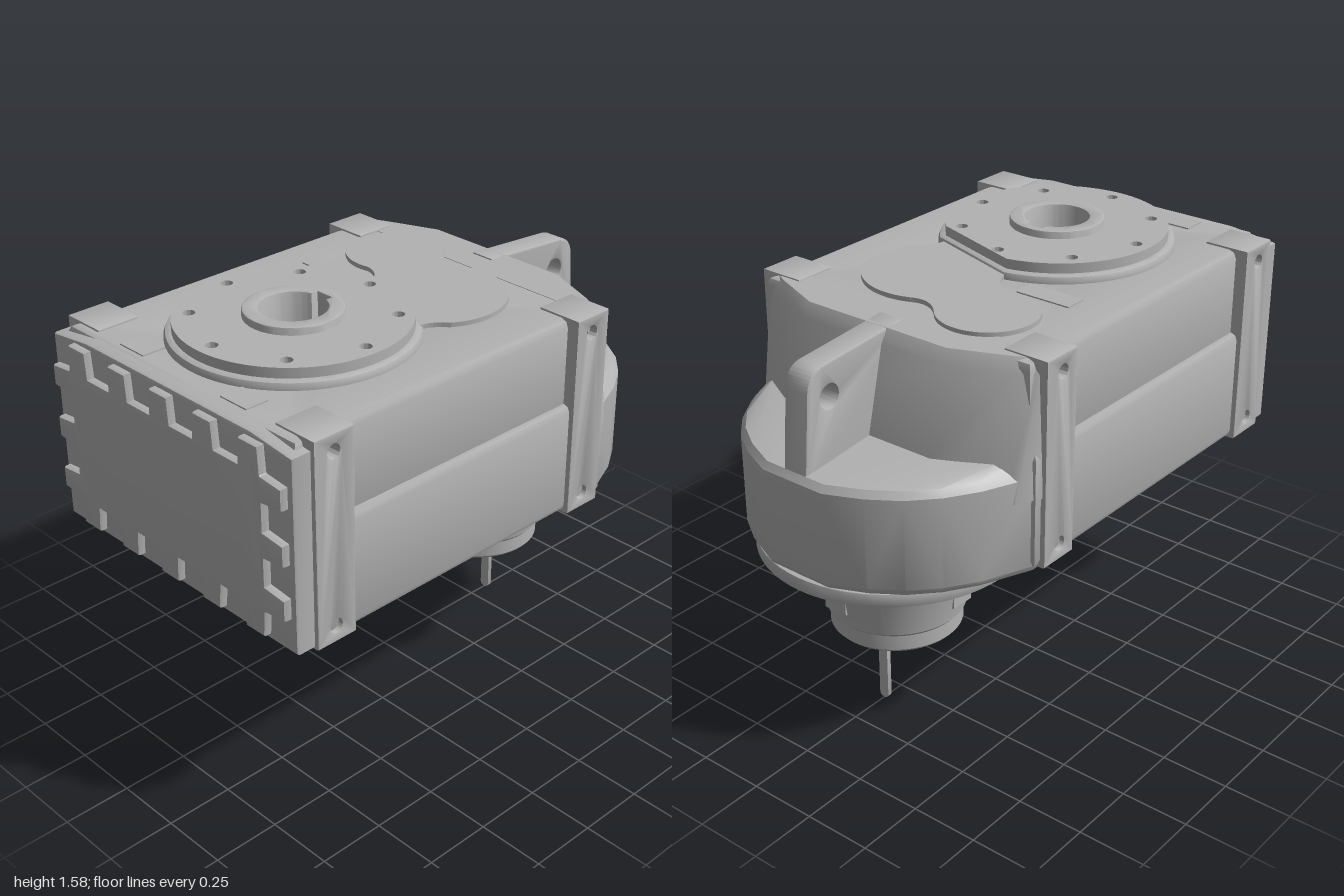
import * as THREE from 'three';
import { toCreasedNormals } from 'three/addons/utils/BufferGeometryUtils.js';
import { ConvexGeometry } from 'three/addons/geometries/ConvexGeometry.js';

const castGrey = new THREE.MeshStandardMaterial({ color: 0xb2b2b2 });
castGrey.name = 'castGrey';

const OUT_Z = 0.42;   // output shaft axis
const IN_Z = -0.51;   // input shaft axis

export function createModel() {
  const model = new THREE.Group();
  model.name = 'gearbox';

  const add = (name, geometry) => {
    const mesh = new THREE.Mesh(toCreasedNormals(geometry, 0.55), castGrey);
    mesh.name = name;
    model.add(mesh);
    return mesh;
  };
  const extrude = (shape, depth, bevel = 0) => {
    const geometry = new THREE.ExtrudeGeometry(shape, {
      depth: depth - 2 * bevel, bevelEnabled: bevel > 0, bevelSize: bevel, bevelThickness: bevel,
      bevelOffset: -bevel, bevelSegments: 2, curveSegments: 32,
    });
    return geometry.translate(0, 0, bevel);
  };
  // Horizontal plate: shape drawn as (x, -z), rising from y0 to y1
  const plate = (name, shape, y0, y1, bevel) =>
    add(name, extrude(shape, y1 - y0, bevel).rotateX(-Math.PI / 2).translate(0, y0, 0));
  // Upright slab: shape drawn as (-z, y), running from x0 to x1
  const slab = (name, shape, x0, x1, bevel) =>
    add(name, extrude(shape, x1 - x0, bevel).rotateY(Math.PI / 2).translate(x0, 0, 0));
  const polygon = (points) => new THREE.Shape(points.map(([x, y]) => new THREE.Vector2(x, y)));
  const rect = (x0, y0, x1, y1) => polygon([[x0, y0], [x1, y0], [x1, y1], [x0, y1]]);
  const disc = (x, y, r) => new THREE.Shape().absarc(x, y, r, 0, Math.PI * 2);
  const punch = (shape, x, y, r) => {
    shape.holes.push(new THREE.Path().absarc(x, y, r, 0, Math.PI * 2, true));
    return shape;
  };
  const boltCircle = (shape) => {
    for (let i = 0; i < 8; i++) {
      const a = (i * Math.PI) / 4;
      punch(shape, 0.35 * Math.cos(a), -OUT_Z + 0.35 * Math.sin(a), 0.022);
    }
    return shape;
  };

  // Main housing, pierced for the hollow shaft
  const housing = (w, z0, z1) => punch(rect(-w, -z1, w, -z0), 0, -OUT_Z, 0.15);
  plate('lowerHousing', housing(0.608, -0.5, 0.93), 0.74, 1.165, 0.025);
  plate('upperHousing', housing(0.58, -0.5, 0.93), 1.1, 1.485, 0.03);

  // Corner mounting strips with side holes
  for (const side of [-1, 1]) {
    for (const [z0, z1, holeZ] of [[0.73, 0.895, 0.815], [-0.47, -0.31, -0.385]]) {
      const strip = rect(-z1, 0.735, -z0, 1.492);
      punch(strip, -holeZ, 1.43, 0.025);
      punch(strip, -holeZ, 0.795, 0.025);
      slab('mountingStrip', strip, side > 0 ? 0.45 : -0.627, side > 0 ? 0.627 : -0.45, 0.006);
    }
  }

  // Front cover and its raised plate with bolt tabs round the edge
  const coverShape = polygon([[-0.61, 0.745], [0.61, 0.745], [0.61, 1.455], [0.42, 1.478], [-0.42, 1.478], [-0.61, 1.455]]);
  add('frontCover', extrude(coverShape, 0.12, 0.012).translate(0, 0, 0.85));
  const outline = [];
  const tabsX = [-0.44, -0.22, 0, 0.22, 0.44];
  const tabsY = [0.915, 1.115, 1.315];
  for (const x of tabsX) outline.push([x - 0.053, 0.865], [x - 0.045, 0.77], [x + 0.045, 0.77], [x + 0.053, 0.865]);
  for (const y of tabsY) outline.push([0.495, y - 0.048], [0.588, y - 0.038], [0.588, y + 0.038], [0.495, y + 0.048]);
  for (const x of [...tabsX].reverse()) outline.push([x + 0.053, 1.365], [x + 0.045, 1.46], [x - 0.045, 1.46], [x - 0.053, 1.365]);
  for (const y of [...tabsY].reverse()) outline.push([-0.495, y + 0.048], [-0.588, y + 0.038], [-0.588, y - 0.038], [-0.495, y - 0.048]);
  add('tabbedPlate', extrude(polygon(outline), 0.045, 0.01).translate(0, 0, 0.955));

  // Rear housing: faceted lower bowl and sloping shoulder
  const convex = (name, layers) => {
    const points = [];
    for (const [y, ring] of layers)
      for (const [x, z] of ring) points.push(new THREE.Vector3(x, y, z), new THREE.Vector3(-x, y, z));
    add(name, new ConvexGeometry(points));
  };
  const bowl = [[0.6, -0.4], [0.6, -0.48], [0.55, -0.56], [0.52, -0.67], [0.45, -0.78], [0.365, -0.87], [0.26, -0.94], [0.13, -0.998]];
  const shrink = (k) => bowl.map(([x, z]) => [x * k, -0.4 + (z + 0.4) * k]);
  convex('rearBowl', [[0.72, shrink(0.975)], [0.745, bowl], [1.08, bowl], [1.105, shrink(0.97)],
    [1.135, [[0.56, -0.45], [0.5, -0.58], [0.3, -0.68]]]]);
  convex('rearShoulder', [
    [1.0, [[0.615, -0.4], [0.615, -0.47], [0.57, -0.56], [0.32, -0.7]]],
    [1.13, [[0.61, -0.4], [0.61, -0.47], [0.56, -0.55], [0.31, -0.68]]],
    [1.44, [[0.595, -0.4], [0.595, -0.47], [0.54, -0.51], [0.31, -0.605]]],
    [1.487, [[0.56, -0.4], [0.56, -0.46], [0.51, -0.49], [0.3, -0.575]]],
  ]);

  // Lifting lug
  const lug = new THREE.Shape();
  lug.moveTo(0.5, 1.05);
  lug.lineTo(0.985, 1.05);
  lug.lineTo(0.955, 1.39);
  lug.quadraticCurveTo(0.945, 1.455, 0.885, 1.462);
  lug.lineTo(0.5, 1.492);
  slab('liftingLug', punch(lug, 0.855, 1.345, 0.042), -0.05, 0.05, 0.008);

  // Top output flange, cut flat where it meets the gear cover
  const rad = Math.PI / 180;
  const cutDisc = (r) => new THREE.Shape().absarc(0, -OUT_Z, r, 101 * rad, 404 * rad);
  plate('topFlangeBase', punch(cutDisc(0.435), 0, -OUT_Z, 0.15), 1.45, 1.515, 0.02);
  plate('topFlange', boltCircle(punch(cutDisc(0.408), 0, -OUT_Z, 0.15)), 1.51, 1.552);

  // Bottom output flange
  plate('bottomFlangeBase', punch(disc(0, -OUT_Z, 0.412), 0, -OUT_Z, 0.15), 0.69, 0.76);
  plate('bottomFlange', boltCircle(punch(disc(0, -OUT_Z, 0.412), 0, -OUT_Z, 0.15)), 0.66, 0.7);

  // Hollow output shaft with keyway
  const key = Math.asin(0.035 / 0.118);
  const bore = new THREE.Path();
  bore.absarc(0, -OUT_Z, 0.118, Math.PI / 2 + key, Math.PI / 2 - key + Math.PI * 2);
  bore.lineTo(0.035, -OUT_Z + 0.14);
  bore.lineTo(-0.035, -OUT_Z + 0.14);
  const shaft = disc(0, -OUT_Z, 0.174);
  shaft.holes.push(bore);
  plate('hollowShaft', shaft, 0.643, 1.58, 0.006);

  // Two-lobed gear cover on the top
  const lobes = new THREE.Shape();
  lobes.moveTo(-0.08, -0.02);
  lobes.quadraticCurveTo(-0.11, 0.1, -0.2, 0.11);
  lobes.absarc(-0.24, 0.285, 0.18, -77 * rad, 40 * rad, true);
  lobes.quadraticCurveTo(-0.04, 0.335, 0.022, 0.356);
  lobes.absarc(0.13, 0.125, 0.255, 115 * rad, -35 * rad, true);
  lobes.quadraticCurveTo(0.265, -0.08, 0.29, -0.14);
  lobes.lineTo(0, -0.15);
  plate('gearCover', lobes, 1.45, 1.502);

  // Small blank data plates
  for (const [x, z, w, d] of [[-0.305, -0.03, 0.22, 0.085], [-0.26, 0.855, 0.125, 0.09], [0.26, 0.855, 0.125, 0.09]])
    plate('dataPlate', rect(x - w / 2, -z - d / 2, x + w / 2, -z + d / 2), 1.482, 1.49);

  // Input flange and tapered input neck with a blind bore
  plate('inputFlange', disc(0, 0.515, 0.483), 0.664, 0.716, 0.005);
  plate('inputFlangeSeat', disc(0, 0.515, 0.465), 0.7, 0.75);
  const profile = [[0, 0.5], [0.075, 0.5], [0.075, 0.315], [0.228, 0.315], [0.24, 0.328], [0.24, 0.385], [0.252, 0.398],
    [0.284, 0.62], [0.295, 0.65], [0.32, 0.668]].map(([r, y]) => new THREE.Vector2(r, y));
  add('inputNeck', new THREE.LatheGeometry(profile, 64).translate(0, 0, IN_Z));

  // Arched bosses round the neck
  for (const [turn, offset] of [[0, 0.047], [1, -0.047], [2, -0.047], [3, 0.047]]) {
    const arch = new THREE.Shape();
    arch.moveTo(offset - 0.048, 0.45);
    arch.lineTo(offset + 0.048, 0.45);
    arch.absarc(offset, 0.5, 0.048, 0, Math.PI);
    add('neckBoss', extrude(arch, 0.068).translate(0, 0, 0.2)
      .rotateY((turn * Math.PI) / 2).translate(0, 0, IN_Z));
  }

  // Loose shaft key with rounded ends, hanging below the neck
  const keyShape = new THREE.Shape();
  keyShape.absarc(0, 0.02, 0.02, Math.PI, Math.PI * 2);
  keyShape.absarc(0, 0.253, 0.02, 0, Math.PI);
  add('shaftKey', extrude(keyShape, 0.018).translate(0, 0, -0.594));

  return model;
}
